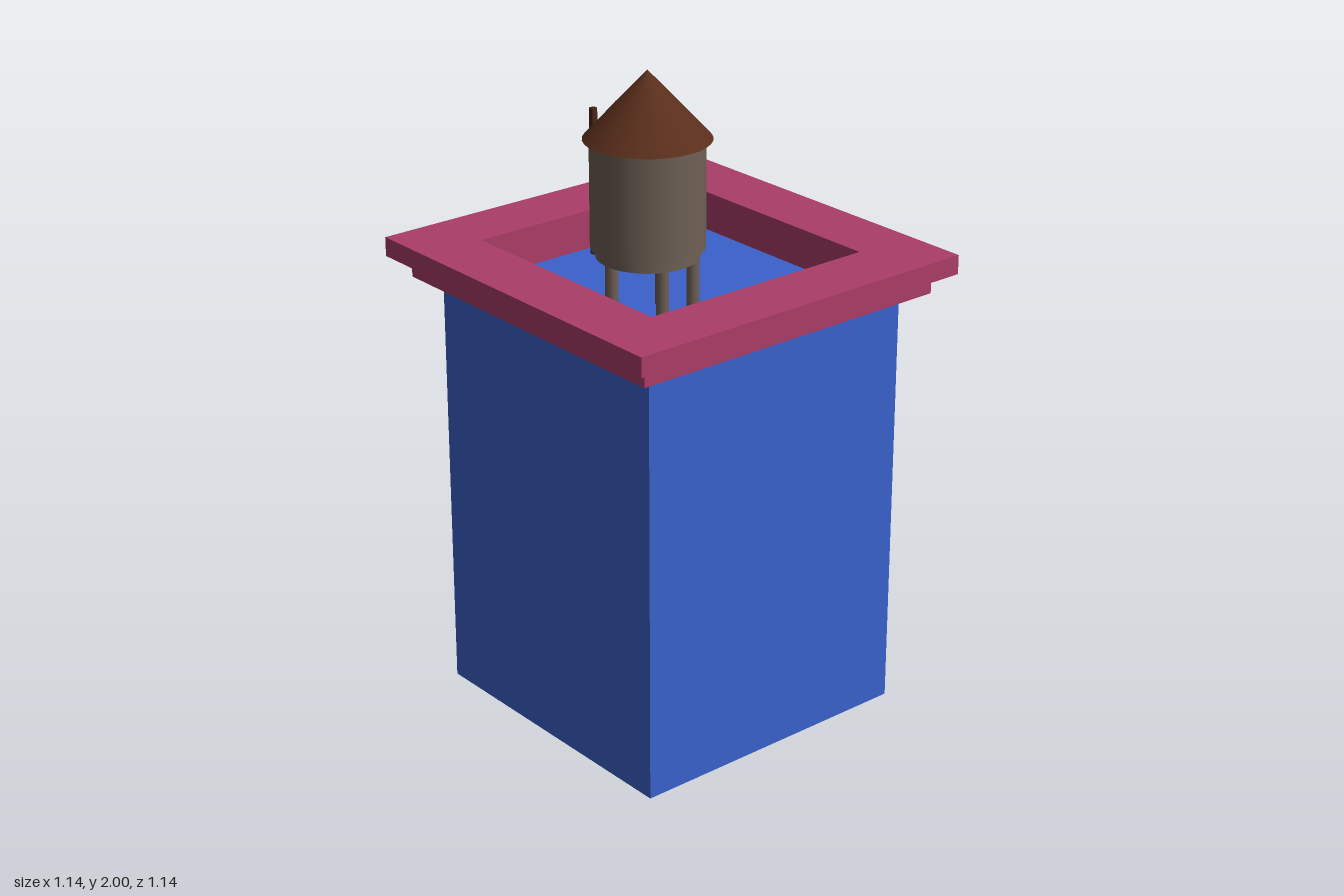
import * as THREE from 'three';

const mat = (color) => new THREE.MeshStandardMaterial({ color });
const blue = mat(0x3a62cc), pink = mat(0xab3d68), glass = mat(0x80cdc4);
const wood = mat(0x6e6055), brown = mat(0x5a2e1b), darkBrown = mat(0x4a2617);

const WALL = 0.455; // x of the wall that carries door and windows

function add(parent, name, geometry, material, x = 0, y = 0, z = 0) {
  const mesh = new THREE.Mesh(geometry, material);
  mesh.name = name;
  mesh.position.set(x, y, z);
  parent.add(mesh);
  return mesh;
}

const box = (w, h, d) => new THREE.BoxGeometry(w, h, d);

// Rectangle centred on (cx, cy), as a Shape or a hole Path
function rect(Type, cx, cy, w, h) {
  const x = w / 2, y = h / 2;
  return new Type([[-x, -y], [x, -y], [x, y], [-x, y]]
    .map(([a, b]) => new THREE.Vector2(cx + a, cy + b)));
}

// Square ring lying flat, used for the cornice steps
function squareRing(outer, inner, height) {
  const shape = rect(THREE.Shape, 0, 0, outer * 2, outer * 2);
  shape.holes.push(rect(THREE.Path, 0, 0, inner * 2, inner * 2));
  return new THREE.ExtrudeGeometry(shape, { depth: height, bevelEnabled: false }).rotateX(-Math.PI / 2);
}

// Frame with a grid of openings, facing local +z, base at y = 0
function frameGeometry(w, h, cols, rows, side, bottom, barX, barY, depth) {
  const shape = rect(THREE.Shape, 0, h / 2, w, h);
  const pw = (w - 2 * side - (cols - 1) * barX) / cols;
  const ph = (h - side - bottom - (rows - 1) * barY) / rows;
  for (let c = 0; c < cols; c++) {
    for (let r = 0; r < rows; r++) {
      const cx = -w / 2 + side + pw / 2 + c * (pw + barX);
      const cy = bottom + ph / 2 + r * (ph + barY);
      shape.holes.push(rect(THREE.Path, cx, cy, pw, ph));
    }
  }
  return new THREE.ExtrudeGeometry(shape, { depth, bevelEnabled: false });
}

// Group on the +x wall, with its local +z pointing outwards
function wallGroup(parent, name, y, z) {
  const group = new THREE.Group();
  group.name = name;
  group.position.set(WALL, y, z);
  group.rotation.y = Math.PI / 2;
  parent.add(group);
  return group;
}

function sashWindow(parent, y, z) {
  const g = wallGroup(parent, 'window', y, z);
  add(g, 'windowFrame', frameGeometry(0.21, 0.33, 2, 2, 0.012, 0.038, 0.018, 0.025, 0.02), pink);
  add(g, 'windowGlass', box(0.2, 0.31, 0.006), glass, 0, 0.165, 0.003);
  add(g, 'windowSill', box(0.21, 0.013, 0.042), pink, 0, 0.017, 0.021);
}

function shopWindow(parent) {
  const g = wallGroup(parent, 'shopWindow', 0.075, -0.185);
  add(g, 'shopWindowFrame', frameGeometry(0.36, 0.3, 4, 2, 0.015, 0.023, 0.014, 0.018, 0.032), pink);
  add(g, 'shopWindowGlass', box(0.35, 0.28, 0.006), glass, 0, 0.15, 0.003);
}

function door(parent) {
  const g = wallGroup(parent, 'door', 0, 0.213);
  add(g, 'doorFrame', frameGeometry(0.21, 0.38, 1, 1, 0.015, 0.012, 0, 0, 0.018), pink);
  add(g, 'doorPanel', box(0.18, 0.355, 0.012), pink, 0, 0.189, 0.006);
  add(g, 'doorKnob', new THREE.SphereGeometry(0.011, 16, 10), blue, 0.06, 0.198, 0.018);
}

function waterTank(parent) {
  const tank = new THREE.Group();
  tank.name = 'waterTank';
  tank.position.set(-0.21, 0, 0.16);
  parent.add(tank);
  add(tank, 'tankBarrel', new THREE.CylinderGeometry(0.158, 0.158, 0.305, 32), wood, 0, 1.6575, 0);
  add(tank, 'tankBase', new THREE.CylinderGeometry(0.143, 0.143, 0.03, 32), wood, 0, 1.493, 0);
  add(tank, 'tankRoof', new THREE.ConeGeometry(0.176, 0.19, 32), brown, 0, 1.905, 0);
  for (let i = 0; i < 5; i++) {
    const a = THREE.MathUtils.degToRad(39 + 72 * i);
    add(tank, 'tankLeg', new THREE.CylinderGeometry(0.018, 0.018, 0.2, 12), wood,
      0.122 * Math.cos(a), 1.385, 0.122 * Math.sin(a));
  }
  // Ladder behind the barrel
  const ladder = new THREE.Group();
  ladder.name = 'ladder';
  ladder.position.set(0.003, 0, -0.18);
  tank.add(ladder);
  for (const s of [-1, 1]) add(ladder, 'ladderRail', box(0.016, 0.42, 0.016), darkBrown, s * 0.045, 1.65, 0);
  for (let i = 0; i < 7; i++) add(ladder, 'ladderRung', box(0.09, 0.014, 0.012), darkBrown, 0, 1.468 + i * 0.057, 0);
}

export function createModel() {
  const model = new THREE.Group();
  model.name = 'building';

  // Walls, with the flat roof as their top
  add(model, 'walls', box(WALL * 2, 1.29, 0.92), blue, 0, 0.645, 0);

  // Two-step cornice around the sunken roof
  add(model, 'lowerCornice', squareRing(0.52, 0.377, 0.06), pink, 0, 1.29, 0);
  add(model, 'upperCornice', squareRing(0.572, 0.377, 0.057), pink, 0, 1.35, 0);

  // Two upper floors of windows, then the ground floor
  for (const y of [0.49, 0.89]) {
    for (const z of [0.297, 0, -0.297]) sashWindow(model, y, z);
  }
  shopWindow(model);
  door(model);
  waterTank(model);
  return model;
}
